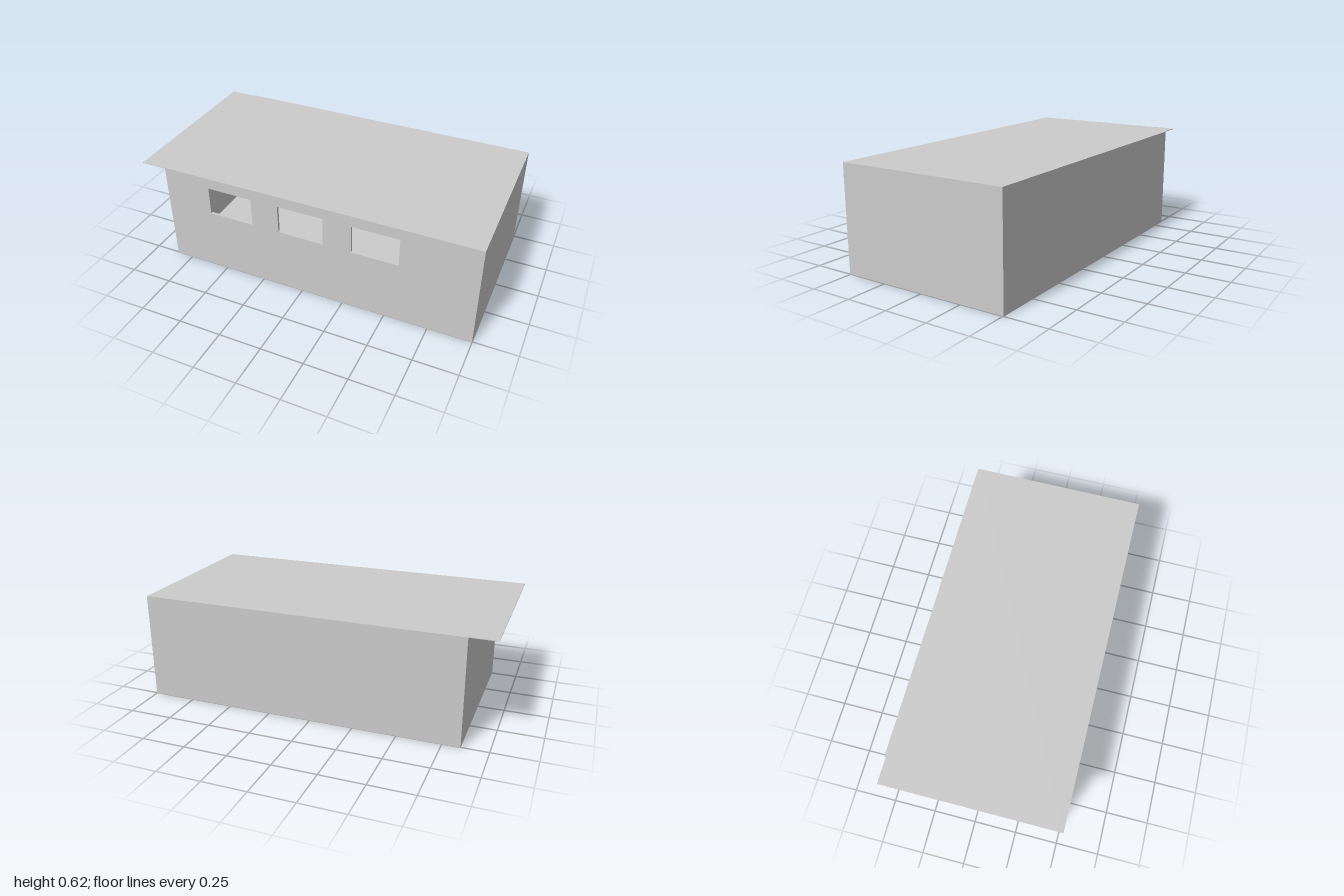
import * as THREE from 'three';

export function createModel() {
  const model = new THREE.Group();
  const grey = new THREE.MeshStandardMaterial({ color: 0xcccccc, flatShading: true, side: THREE.DoubleSide });

  // Building limits: the roof overhangs past the west end
  const W = -0.85, E = 1, N = -0.505, S = 0.505, H = 0.615, T = 0.015;

  function add(name, geometry) {
    const mesh = new THREE.Mesh(geometry, grey);
    mesh.name = name;
    model.add(mesh);
    return mesh;
  }
  // Box given by its limits on each axis
  function slab(name, x0, x1, y0, y1, z0, z1) {
    add(name, new THREE.BoxGeometry(x1 - x0, y1 - y0, z1 - z0))
      .position.set((x0 + x1) / 2, (y0 + y1) / 2, (z0 + z1) / 2);
  }
  function trace(path, x0, x1, y0, y1) {
    path.moveTo(x0, y0);
    path.lineTo(x1, y0);
    path.lineTo(x1, y1);
    path.lineTo(x0, y1);
    path.closePath();
    return path;
  }

  // Floor, roof and the three plain walls
  slab('floor', W, E, 0, 0.005, N, S);
  slab('roof', -1, E, H - 0.004, H, -0.497, S);
  slab('backWall', W, E, 0.005, H, N, N + T);
  slab('rightEndWall', W, W + T, 0.005, H - 0.004, N + T, S - T);
  slab('leftEndWall', E - T, E, 0.005, H - 0.004, N + T, S - T);

  // Front wall with three window openings
  const bays = [-0.434, 0, 0.434];
  const wall = trace(new THREE.Shape(), W, E, 0.005, H - 0.004);
  for (const x of bays) wall.holes.push(trace(new THREE.Path(), x - 0.135, x + 0.135, 0.38, 0.55));
  add('frontWall', new THREE.ExtrudeGeometry(wall, { depth: T, bevelEnabled: false })).position.z = S - T;

  // Ceiling lamps in a grid, each row hung from a thin rail
  for (const z of [0.37, 0.08, -0.21]) {
    slab('lampRail', W + T, E - T, H - 0.01, H - 0.004, z - 0.003, z + 0.003);
    for (const x of bays) {
      add('lampShade', new THREE.CylinderGeometry(0.02, 0.042, 0.03, 16, 1, true)).position.set(x, 0.55, z);
      add('lampCord', new THREE.CylinderGeometry(0.003, 0.003, 0.042, 6)).position.set(x, 0.585, z);
    }
  }

  return model;
}
